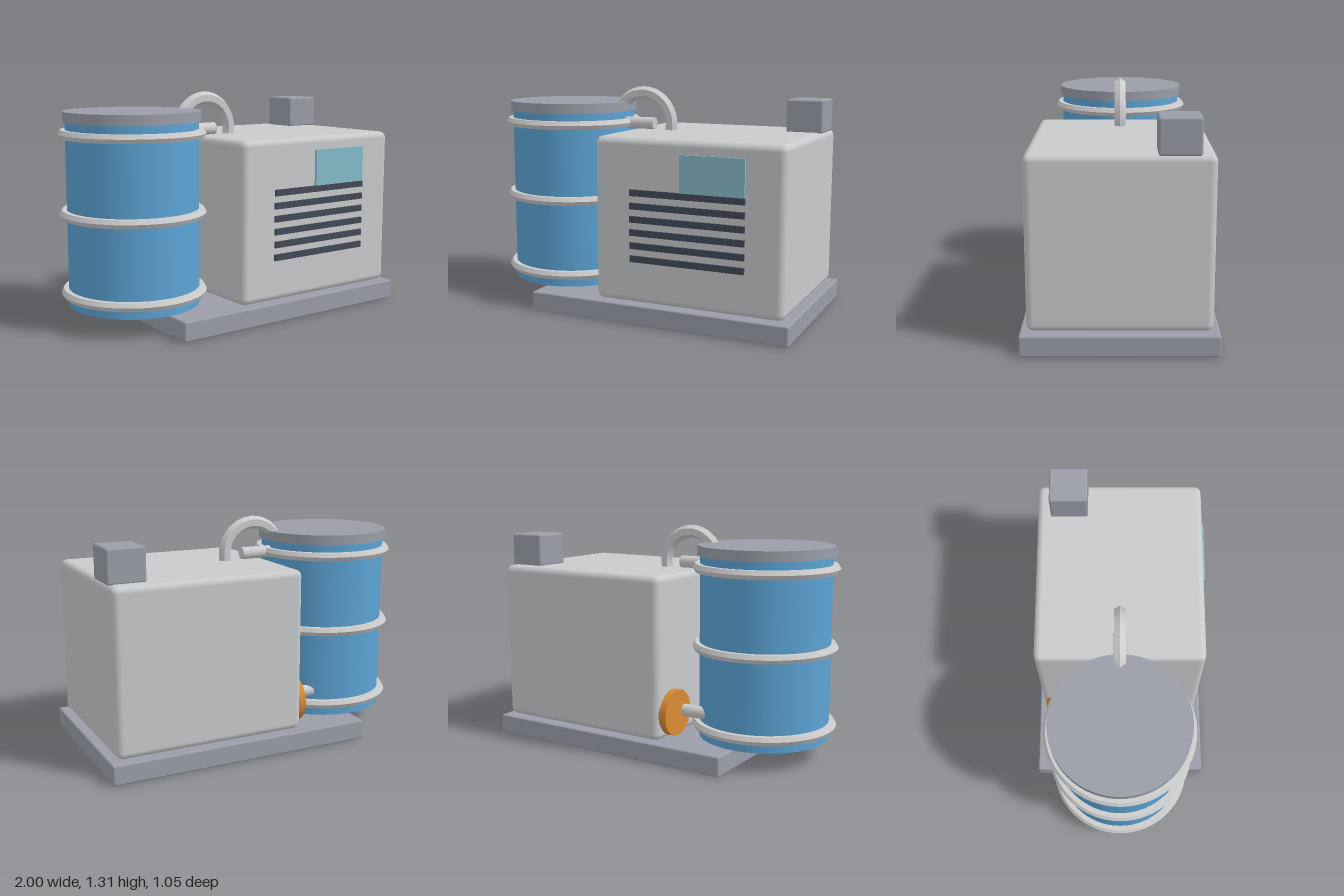
import * as THREE from 'three';
import { toCreasedNormals } from 'three/addons/utils/BufferGeometryUtils.js';
import { RoundedBoxGeometry } from 'three/addons/geometries/RoundedBoxGeometry.js';

const mat = (name, color, extra = {}) => {
  const m = new THREE.MeshStandardMaterial({ color });
  m.name = name;
  return m;
};

export function createModel() {
  const model = new THREE.Group();
  model.name = 'tankUnit';
  const shell = mat('lightGrey', 0xc8cacc);
  const steel = mat('midGrey', 0x9a9ea8);
  const metal = mat('paleMetal', 0xcccccc);
  const blue = mat('drumBlue', 0x5ba3d4);
  const dark = mat('slatDark', 0x434956);
  const glass = mat('panelTeal', 0x86bccb);
  const orange = mat('valveOrange', 0xd88a35);

  const add = (name, geometry, material, x, y, z) => {
    const mesh = new THREE.Mesh(geometry, material);
    mesh.name = name;
    mesh.position.set(x, y, z);
    model.add(mesh);
    return mesh;
  };
  // Box given by its limits on each axis, with rounded edges
  const box = (name, material, [x0, x1], [y0, y1], [z0, z1], r) =>
    add(name, new RoundedBoxGeometry(x1 - x0, y1 - y0, z1 - z0, 2, r), material,
      (x0 + x1) / 2, (y0 + y1) / 2, (z0 + z1) / 2);
  // Cylinder lying along x
  const rod = (name, material, r, x0, x1, y, z, sides) =>
    add(name, new THREE.CylinderGeometry(r, r, x1 - x0, sides).rotateZ(Math.PI / 2), material,
      (x0 + x1) / 2, y, z);
  // Ring of six-sided section, sharp across and smooth around
  const ring = (r, tube, segments) =>
    toCreasedNormals(new THREE.TorusGeometry(r, tube, 6, segments), 0.6);

  // Plinth, cabinet and roof box
  box('base', steel, [-0.58, 0.997], [0, 0.115], [-0.525, 0.525], 0.01);
  box('cabinet', shell, [-0.165, 0.957], [0.12, 1.06], [-0.49, 0.49], 0.038);
  box('roofBox', steel, [0.738, 0.957], [1.055, 1.248], [-0.412, -0.19], 0.012);

  // Front display and vent slats
  add('display', new THREE.BoxGeometry(0.375, 0.21, 0.016), glass, 0.547, 0.877, 0.495);
  for (let i = 0; i < 6; i++) {
    add('ventSlat', new THREE.BoxGeometry(0.677, 0.036, 0.016), dark, 0.397, 0.754 - i * 0.0752, 0.496);
  }

  // Drum with lid and hoops
  const drumX = -0.582;
  add('drum', new THREE.CylinderGeometry(0.376, 0.376, 1.055, 64), blue, drumX, 0.6425, 0);
  add('lid', new THREE.CylinderGeometry(0.39, 0.39, 0.057, 64), steel, drumX, 1.1915, 0);
  for (const y of [0.19, 0.643, 1.094]) {
    add('hoop', ring(0.39, 0.028, 64).rotateX(Math.PI / 2), metal, drumX, y, 0);
  }

  // Pipes between drum and cabinet
  add('loopPipe', ring(0.18, 0.038, 40), metal, -0.09, 1.097, 0);
  rod('upperPipe', metal, 0.036, -0.35, -0.02, 1.094, 0, 20);
  rod('lowerPipe', metal, 0.036, -0.4, -0.18, 0.265, -0.27, 20);
  rod('valveWheel', orange, 0.134, -0.205, -0.16, 0.265, -0.34, 32);

  return model;
}
